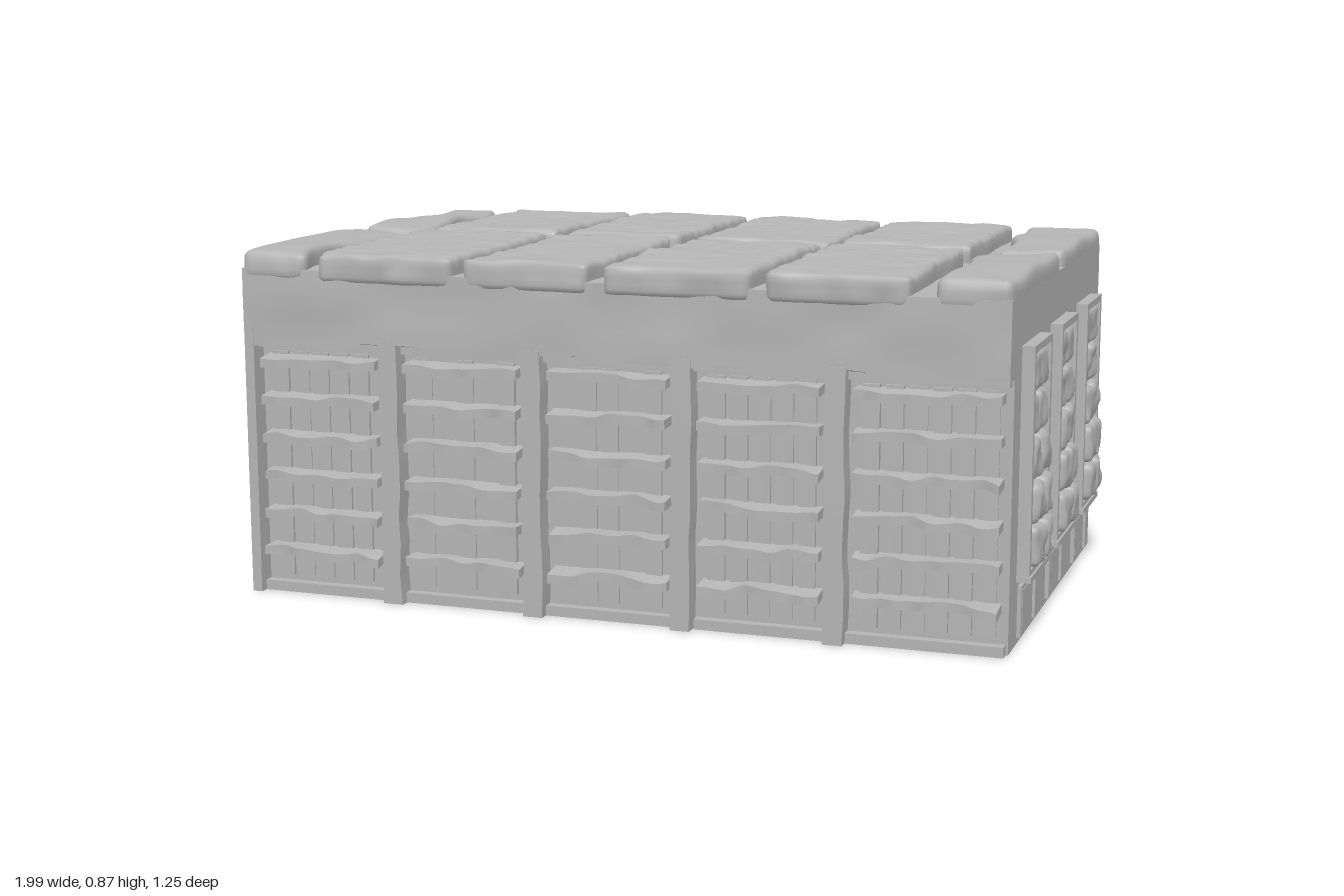
import * as THREE from 'three';
import { mergeVertices } from 'three/addons/utils/BufferGeometryUtils.js';

const stone = new THREE.MeshStandardMaterial({ color: 0xb4b4b4 });
stone.name = 'grey stone';

// Smooth seeded value noise in -1..1
const hash = (x, y, z) => {
  const s = Math.sin(x * 127.1 + y * 311.7 + z * 74.7) * 43758.5453;
  return (s - Math.floor(s)) * 2 - 1;
};
function noise(x, y, z) {
  const i = [x, y, z].map(Math.floor);
  const f = [x - i[0], y - i[1], z - i[2]].map(t => t * t * (3 - 2 * t));
  let sum = 0;
  for (let c = 0; c < 8; c++) {
    const o = [c & 1, (c >> 1) & 1, c >> 2];
    const w = o.reduce((p, b, k) => p * (b ? f[k] : 1 - f[k]), 1);
    sum += w * hash(i[0] + o[0], i[1] + o[1], i[2] + o[2]);
  }
  return sum;
}

// Box between two corners, with rounded edges (r) and a vertex rule (move)
function block(name, min, max, { step = 0.03, r = 0, move = null } = {}) {
  const size = min.map((m, k) => max[k] - m);
  const seg = size.map(s => (move || r ? Math.max(1, Math.ceil(s / step)) : 1));
  let g = new THREE.BoxGeometry(...size, ...seg);
  g.translate(...min.map((m, k) => (m + max[k]) / 2));
  if (move || r) {
    g.deleteAttribute('uv');
    if (r) {
      g.deleteAttribute('normal');
      g = mergeVertices(g, 1e-5);
    }
    const pos = g.attributes.position, p = new THREE.Vector3(), q = new THREE.Vector3();
    const lo = new THREE.Vector3(...min).addScalar(r), hi = new THREE.Vector3(...max).addScalar(-r);
    for (let i = 0; i < pos.count; i++) {
      p.fromBufferAttribute(pos, i);
      if (r) {
        q.copy(p).clamp(lo, hi);
        p.sub(q).setLength(r).add(q);
      }
      if (move) move(p);
      pos.setXYZ(i, p.x, p.y, p.z);
    }
    g.computeVertexNormals();
  }
  const mesh = new THREE.Mesh(g, stone);
  mesh.name = name;
  return mesh;
}

const rect = (Type, w, h, x = 0, y = 0) => new Type([
  [-1, -1], [1, -1], [1, 1], [-1, 1],
].map(([a, b]) => new THREE.Vector2(x + a * w / 2, y + b * h / 2)));
const extrude = (name, shape, depth) => {
  const m = new THREE.Mesh(new THREE.ExtrudeGeometry(shape, { depth, bevelEnabled: false, curveSegments: 16 }), stone);
  m.name = name;
  return m;
};

// Underside plate with square sockets, two grooved hatches and a round boss
function makeFloor() {
  const floor = new THREE.Group();
  floor.name = 'floor';
  const shape = rect(THREE.Shape, 1.89, 1.13, -0.005, 0);
  const sockets = [[0.61, -0.37], [0.61, 0.38], [0.18, 0.41], [-0.24, -0.36], [-0.24, 0.41], [-0.66, -0.34]];
  for (const [x, z] of sockets) shape.holes.push(rect(THREE.Path, 0.065, 0.065, x, z));
  for (const x of [0.42, -0.46]) {
    shape.holes.push(rect(THREE.Path, 0.3, 0.36, x, 0.03));
    floor.add(block('hatch', [x - 0.135, 0.001, -0.135], [x + 0.135, 0.05, 0.195]));
  }
  shape.holes.push(new THREE.Path().absarc(-0.03, 0, 0.04, 0, Math.PI * 2, true));
  const boss = new THREE.Mesh(new THREE.CylinderGeometry(0.025, 0.025, 0.045, 16), stone);
  boss.name = 'boss';
  boss.position.set(-0.03, 0.0275, 0);
  const plate = extrude('floorPlate', shape, 0.04);
  plate.geometry.rotateX(Math.PI / 2).translate(0, 0.04, 0);
  floor.add(plate, boss);
  return floor;
}

// Louvred long wall facing +z (side = 1) or -z (side = -1)
function makeLouvres(side) {
  const wall = new THREE.Group();
  wall.name = side > 0 ? 'frontLouvres' : 'backLouvres';
  const add = (name, x0, x1, y0, y1, z0, z1, opt) => wall.add(block(name,
    [x0, y0, side > 0 ? z0 : -z1], [x1, y1, side > 0 ? z1 : -z0], opt));
  for (const x of [-0.58, -0.207, 0.17, 0.54]) {
    add('post', x - 0.024, x + 0.024, 0, 0.65, 0.55, 0.615, {
      step: 0.04, move: p => { p.x += 0.004 * noise(p.x * 9, p.y * 14, side * 5); },
    });
  }
  const bays = [[-0.945, -0.604], [-0.556, -0.231], [-0.183, 0.146], [0.194, 0.516], [0.564, 0.935]];
  for (const [a, b] of bays) {
    add('bayBase', a, b, 0, 0.025, 0.55, 0.59);
    add('bayHead', a, b, 0.62, 0.65, 0.55, 0.59);
    for (let i = 0; i < 6; i++) {
      const y = 0.112 + i * 0.0965;
      add('slat', a + 0.018, b - 0.012, y - 0.011, y + 0.011, 0.55, 0.62, {
        step: 0.018,
        move: p => { // ragged outer lip, drooping slightly
          const out = (Math.abs(p.z) - 0.55) / 0.07;
          p.z += side * out * (0.011 * noise(p.x * 25, i * 7.3, side * 3) - 0.004);
          p.y += out * (0.010 * noise(p.x * 18, i * 3.1 + 40, side * 9) - 0.005);
        },
      });
    }
    // split boards behind the slats
    for (let x = a + 0.03, k = 0; x < b - 0.05; x += 0.055, k++) {
      const t = 0.006 + 0.006 * hash(k, a * 10, side);
      if (t > 0.003) add('board', x, x + 0.042, 0.04, 0.61, 0.55, 0.565 + t);
    }
  }
  return wall;
}

// Tall window on the +x end wall, with a plinth panel below
function makeWindow(z) {
  const win = new THREE.Group();
  win.name = 'window';
  const shape = rect(THREE.Shape, 0.225, 0.54);
  shape.holes.push(rect(THREE.Path, 0.19, 0.505));
  const frame = extrude('windowFrame', shape, 0.04);
  frame.geometry.rotateY(Math.PI / 2).translate(0.93, 0.43, z);
  win.add(frame, block('windowBack', [0.93, 0.17, z - 0.1], [0.95, 0.69, z + 0.1]));
  for (let row = 0; row < 5; row++) {
    for (const s of [-1, 1]) {
      const y = 0.229 + row * 0.1005, c = z + s * 0.0475, bulge = [0.988, 0.985, 0.976, 0.966, 0.966][row];
      win.add(block('pane', [0.93, y - 0.047, c - 0.044], [bulge, y + 0.047, c + 0.044], {
        step: 0.015, r: 0.014, move: p => { p.x += 0.007 * noise(p.x, p.y * 28, p.z * 28); },
      }));
    }
  }
  win.add(block('sill', [0.93, 0.152, z - 0.118], [0.975, 0.166, z + 0.118]));
  win.add(block('plinthCap', [0.93, 0.127, z - 0.095], [0.95, 0.138, z + 0.095]));
  for (const s of [-0.089, 0.089]) win.add(block('plinthSide', [0.93, 0.015, z + s - 0.007], [0.95, 0.13, z + s + 0.007]));
  win.add(block('plinthPanel', [0.93, 0.02, z - 0.06], [0.947, 0.12, z + 0.06]));
  return win;
}

// Roof of rough slabs separated by grooves
function makeRoof() {
  const roof = new THREE.Group();
  roof.name = 'roof';
  const cols = [[-0.972, -0.8], [-0.765, -0.412], [-0.375, -0.06], [-0.02, 0.335], [0.37, 0.705], [0.745, 0.94]];
  const rows = [[-0.62, -0.045], [0.003, 0.615]];
  cols.forEach(([x0, x1], c) => rows.forEach(([z0, z1], r) => {
    const end = c === 0 || c === 5;
    roof.add(block(end ? 'endSlab' : 'roofSlab', [x0, 0.79, z0], [x1, 0.862, z1], {
      step: 0.016, r: end ? 0.022 : 0.012,
      move: p => {
        const top = Math.max(0, (p.y - 0.79) / 0.072);
        const n = noise(p.x * 5, c * 3, p.z * 6);
        // long grain on the main slabs, soft hollows on the end slabs
        p.y += top * (end ? 0.012 * n - 0.003 : 0.005 * noise(p.x * 16, c, p.z * 60) + 0.005 * n);
        const inner = c === 0 ? (p.x - x0) / (x1 - x0) : c === 5 ? (x1 - p.x) / (x1 - x0) : 0;
        p.x += (c === 0 ? -1 : 1) * inner * 0.022 * (noise(p.z * 8, c, 1) + 0.6);
        if (!end) p.x += 0.006 * noise(p.z * 7, c * 5, r);
        p.z += 0.004 * noise(p.x * 20, p.y * 20, r * 8);
      },
    }));
  }));
  return roof;
}

export function createModel() {
  const model = new THREE.Group();
  model.name = 'building';

  // Core, end wall and the heavy band under the roof
  model.add(makeFloor());
  model.add(block('core', [-0.95, 0.04, -0.565], [0.94, 0.66, 0.565]));
  model.add(block('endWall', [-0.97, 0, -0.613], [-0.945, 0.8, 0.613]));
  model.add(block('upperBand', [-0.97, 0.635, -0.612], [0.94, 0.818, 0.612], {
    step: 0.04,
    move: p => {
      const low = (0.818 - p.y) / 0.183;
      if (Math.abs(p.z) > 0.6) {
        p.y += low * 0.012 * noise(p.x * 11, 2, Math.sign(p.z) * 4);
        p.z += Math.sign(p.z) * 0.006 * noise(p.x * 7, p.y * 12, Math.sign(p.z) * 6);
      }
    },
  }));
  model.add(makeLouvres(1), makeLouvres(-1));
  for (const z of [-0.37, 0.005, 0.37]) model.add(makeWindow(z));

  // Door with clipped top corners on the -x end
  const outline = [[-0.14, 0], [0.15, 0], [0.15, 0.41], [0.13, 0.43], [-0.12, 0.43], [-0.14, 0.41]];
  const door = extrude('door', new THREE.Shape(outline.map(p => new THREE.Vector2(...p))), 0.04);
  door.geometry.rotateY(-Math.PI / 2).scale(1, 1, 1).translate(-0.957, 0, -0.005);
  model.add(door, block('doorKnob', [-1, 0.2, -0.08], [-0.99, 0.215, -0.065]));

  model.add(makeRoof());
  return model;
}
